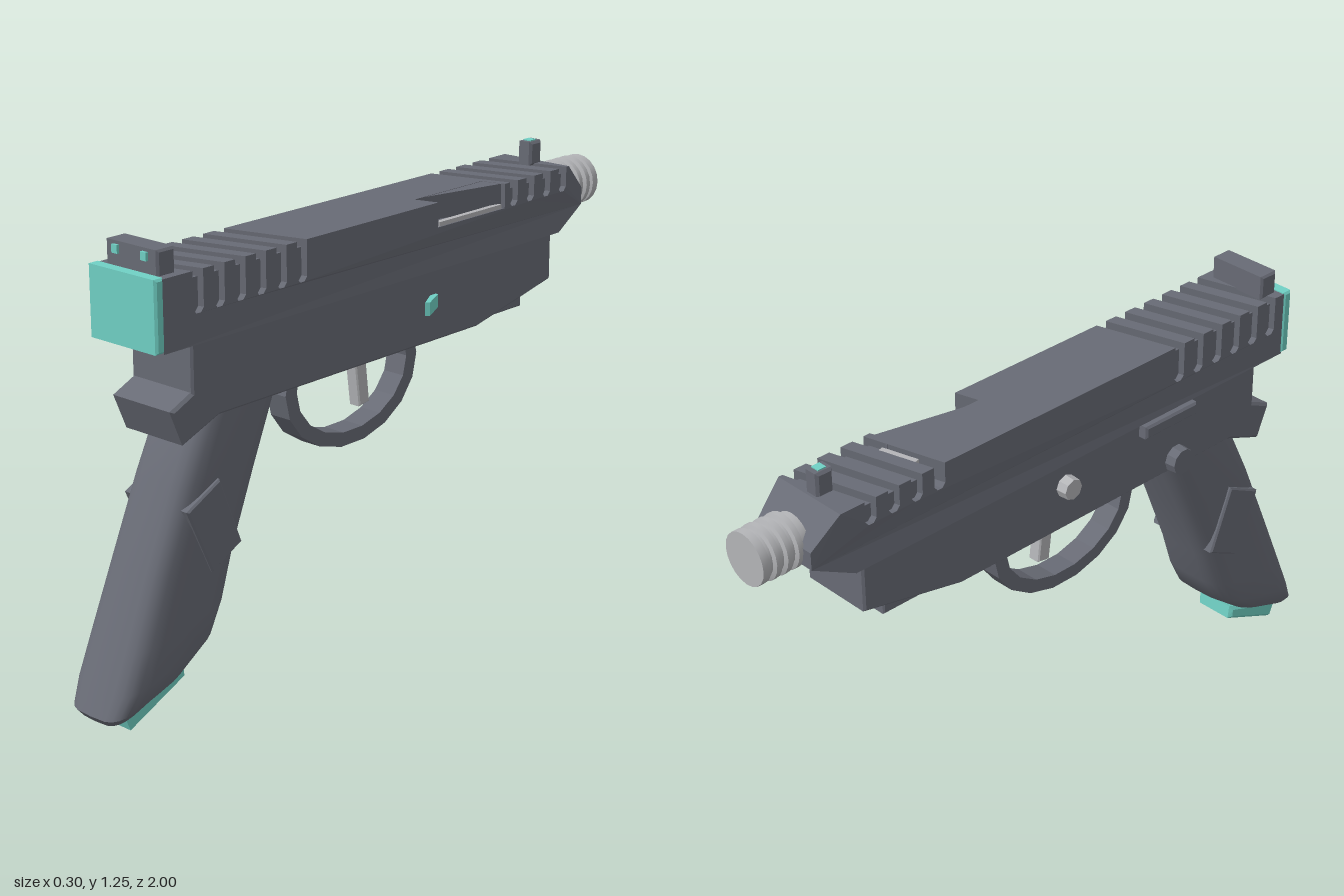
import * as THREE from 'three';
import { toCreasedNormals } from 'three/addons/utils/BufferGeometryUtils.js';

const CX = -0.008; // centre line of the body
const mat = (color) => new THREE.MeshStandardMaterial({ color });

export function createModel() {
  const group = new THREE.Group();
  const dark = mat(0x686b75), teal = mat(0x70d0c4), light = mat(0xb4b5b8);

  const add = (name, geo, material = dark) => {
    const mesh = new THREE.Mesh(geo, material);
    mesh.name = name;
    group.add(mesh);
    return mesh;
  };
  // side profile of [z, y] points, extruded from x0 to x1 with bevel b
  const extrudeSide = (shape, x0, x1, b = 0) => {
    const geo = new THREE.ExtrudeGeometry(shape, {
      depth: x1 - x0 - 2 * b, bevelEnabled: b > 0, bevelSize: b,
      bevelThickness: b, bevelOffset: -b, bevelSegments: 1, curveSegments: 9,
    });
    return geo.rotateY(-Math.PI / 2).translate(x1 - b, 0, 0);
  };
  const side = (points, x0, x1, b) =>
    extrudeSide(new THREE.Shape(points.map((p) => new THREE.Vector2(...p))), x0, x1, b);
  const box = (name, x0, x1, y0, y1, z0, z1, material, b = 0) =>
    add(name, side([[z0, y0], [z1, y0], [z1, y1], [z0, y1]], x0, x1, b), material);

  // slide: notched profile, its slots slanted across the width
  const slot = (z, bottom) => [
    [z + 0.018, 1.19], [z + 0.018, bottom + 0.012], [z + 0.008, bottom],
    [z - 0.008, bottom], [z - 0.018, bottom + 0.012], [z - 0.018, 1.19],
  ];
  const rearSlots = [0.7, 0.627, 0.553, 0.48, 0.405, 0.33].flatMap((z) => slot(z, 1.08));
  const frontSlots = [-0.54, -0.615, -0.69, -0.765].flatMap((z) => slot(z, 1.12));
  const port = [[-0.21, 1.19], [-0.21, 1.12], [-0.5, 1.12], [-0.5, 1.19]];
  const slidePiece = (x0, x1, middle) => {
    const geo = side([
      [0.82, 1], [0.82, 1.19], ...rearSlots, ...middle, ...frontSlots,
      [-0.795, 1.19], [-0.88, 1.11], [-0.88, 1.06], [-0.755, 1],
    ], x0, x1);
    const p = geo.attributes.position;
    for (let i = 0; i < p.count; i++) {
      const x = p.getX(i), z = p.getZ(i);
      if (p.getY(i) > 1.05 && z > -0.79 && z < 0.78) p.setZ(i, z + (0.11 - x) * 0.27);
      if (z < -0.85) p.setX(i, CX + (x - CX) * 0.87);
    }
    geo.computeVertexNormals();
    return geo;
  };
  add('slideLeft', slidePiece(-0.126, 0.04, []));
  add('slideRight', slidePiece(0.04, 0.11, port));
  box('slideCoreRear', -0.11, 0.094, 1.02, 1.168, 0.28, 0.815);
  box('slideCoreFront', -0.11, 0.094, 1.02, 1.168, -0.79, -0.505);
  // slanted inner wall of the ejection port
  const wedge = new THREE.Shape();
  wedge.moveTo(0.039, 0.23).lineTo(0.1, 0.505).lineTo(0.039, 0.505);
  add('portWall', new THREE.ExtrudeGeometry(wedge, { depth: 0.07, bevelEnabled: false })
    .rotateX(-Math.PI / 2).translate(0, 1.119, 0));
  box('portEdge', 0.09, 0.106, 1.12, 1.132, -0.49, -0.22, light);
  const chamber = add('chamberEdge', new THREE.BoxGeometry(0.11, 0.02, 0.03), light);
  chamber.position.set(-0.005, 1.168, -0.51);
  chamber.rotation.y = 0.26;

  // back plate and sights
  box('backPlate', -0.13, 0.112, 1.003, 1.193, 0.815, 0.845, teal, 0.006);
  box('rearSight', -0.1, 0.085, 1.185, 1.255, 0.75, 0.81, dark, 0.006);
  for (const x of [-0.06, 0.043]) {
    box('rearSightDot', x - 0.01, x + 0.01, 1.224, 1.246, 0.8, 0.818, teal);
  }
  box('frontSight', CX - 0.024, CX + 0.024, 1.185, 1.255, -0.787, -0.735, dark, 0.007);
  box('frontSightDot', CX - 0.013, CX + 0.013, 1.235, 1.258, -0.773, -0.747, teal);

  // ringed muzzle
  const muzzle = [[0, 0.85], [0.064, 0.85]];
  for (const z of [0.872, 0.906, 0.94]) {
    muzzle.push([0.064, z], [0.075, z + 0.004], [0.075, z + 0.02], [0.064, z + 0.024]);
  }
  muzzle.push([0.064, 0.974], [0.073, 0.977], [0.073, 1], [0, 1]);
  const muzzleGeo = new THREE.LatheGeometry(muzzle.map((p) => new THREE.Vector2(...p)), 20);
  add('muzzle', toCreasedNormals(muzzleGeo.rotateX(-Math.PI / 2), 0.5), light)
    .position.set(CX, 1.1, 0);

  // frame, tail and under rail
  add('frame', side([[0.72, 1.005], [0.72, 0.795], [-0.4, 0.795], [-0.73, 0.865],
    [-0.73, 1.005]], -0.118, 0.102, 0.006));
  add('tail', side([[0.793, 0.842], [0.752, 0.744], [0.595, 0.805], [0.62, 0.89],
    [0.72, 0.875]], -0.118, 0.102, 0.008));
  add('underRail', side([[-0.36, 0.795], [-0.64, 0.795], [-0.64, 0.842],
    [-0.6, 0.87], [-0.36, 0.87]], CX - 0.075, CX + 0.075, 0.004));

  // grip: rounded sections [back z, back y, front z, front y, half width]
  const sections = [
    [0.62, 0.86, 0.36, 0.86, 0.098], [0.68, 0.78, 0.395, 0.78, 0.105],
    [0.755, 0.627, 0.47, 0.61, 0.108], [0.85, 0.41, 0.553, 0.41, 0.11],
    [0.93, 0.22, 0.595, 0.29, 0.115], [0.975, 0.115, 0.637, 0.209, 0.115],
    [1.0, 0.056, 0.735, 0.133, 0.1], [0.985, 0.037, 0.75, 0.125, 0.085],
    [0.87, 0.081, 0.87, 0.081, 0],
  ];
  const N = 24, verts = [], index = [];
  const round = (v) => Math.sign(v) * Math.sqrt(Math.abs(v));
  sections.forEach(([bz, by, fz, fy, hw], i) => {
    for (let j = 0; j < N; j++) {
      const a = (j / N) * Math.PI * 2, t = (round(Math.sin(a)) + 1) / 2;
      verts.push(CX + hw * round(Math.cos(a)), fy + (by - fy) * t, fz + (bz - fz) * t);
      if (i === sections.length - 1) continue;
      const p = i * N + j, q = i * N + ((j + 1) % N);
      index.push(p, q, p + N, q, q + N, p + N);
    }
  });
  const gripGeo = new THREE.BufferGeometry();
  gripGeo.setAttribute('position', new THREE.Float32BufferAttribute(verts, 3));
  gripGeo.setIndex(index);
  add('grip', toCreasedNormals(gripGeo, 0.7));

  add('gripPanels', side([[0.755, 0.568], [0.637, 0.627], [0.562, 0.434], [0.67, 0.38]],
    CX - 0.118, CX + 0.118, 0.005));
  add('gripBase', side([[0.728, 0.131], [0.723, 0.09], [0.916, 0.004], [0.937, 0.054]],
    CX - 0.067, CX + 0.067, 0.01), teal);

  // trigger and its guard
  const guard = new THREE.Shape().absellipse(0.045, 0.745, 0.265, 0.202, 0, Math.PI * 2);
  guard.holes.push(new THREE.Path().absellipse(0.045, 0.745, 0.222, 0.162, 0, Math.PI * 2));
  add('triggerGuard', extrudeSide(guard, CX - 0.035, CX + 0.035));
  add('trigger', side([[0.025, 0.83], [-0.02, 0.83], [-0.042, 0.642], [0, 0.635]],
    CX - 0.02, CX + 0.02, 0.004), light);

  // flared lever on the left
  const lever = new THREE.Shape();
  lever.moveTo(0.095, 0.212).lineTo(0.11, 0.212).lineTo(0.147, 0.135)
    .lineTo(0.138, 0.125).lineTo(0.095, 0.2);
  add('sideLever', new THREE.ExtrudeGeometry(lever, { depth: 0.038, bevelEnabled: false })
    .rotateX(-Math.PI / 2).translate(0, 0.893, 0), teal);

  // controls on the right
  const knob = (name, r, y, z, sides, material) => {
    const geo = new THREE.CylinderGeometry(r * 0.9, r, 0.05, sides).toNonIndexed();
    geo.computeVertexNormals();
    add(name, geo.rotateZ(Math.PI / 2), material).position.set(-0.125, y, z);
  };
  knob('pin', 0.034, 0.93, -0.03, 8, light);
  knob('releaseButton', 0.043, 0.83, 0.4, 10, dark);
  box('slideCatch', -0.147, -0.11, 0.962, 1.0, 0.25, 0.45, dark, 0.006);

  return group;
}
